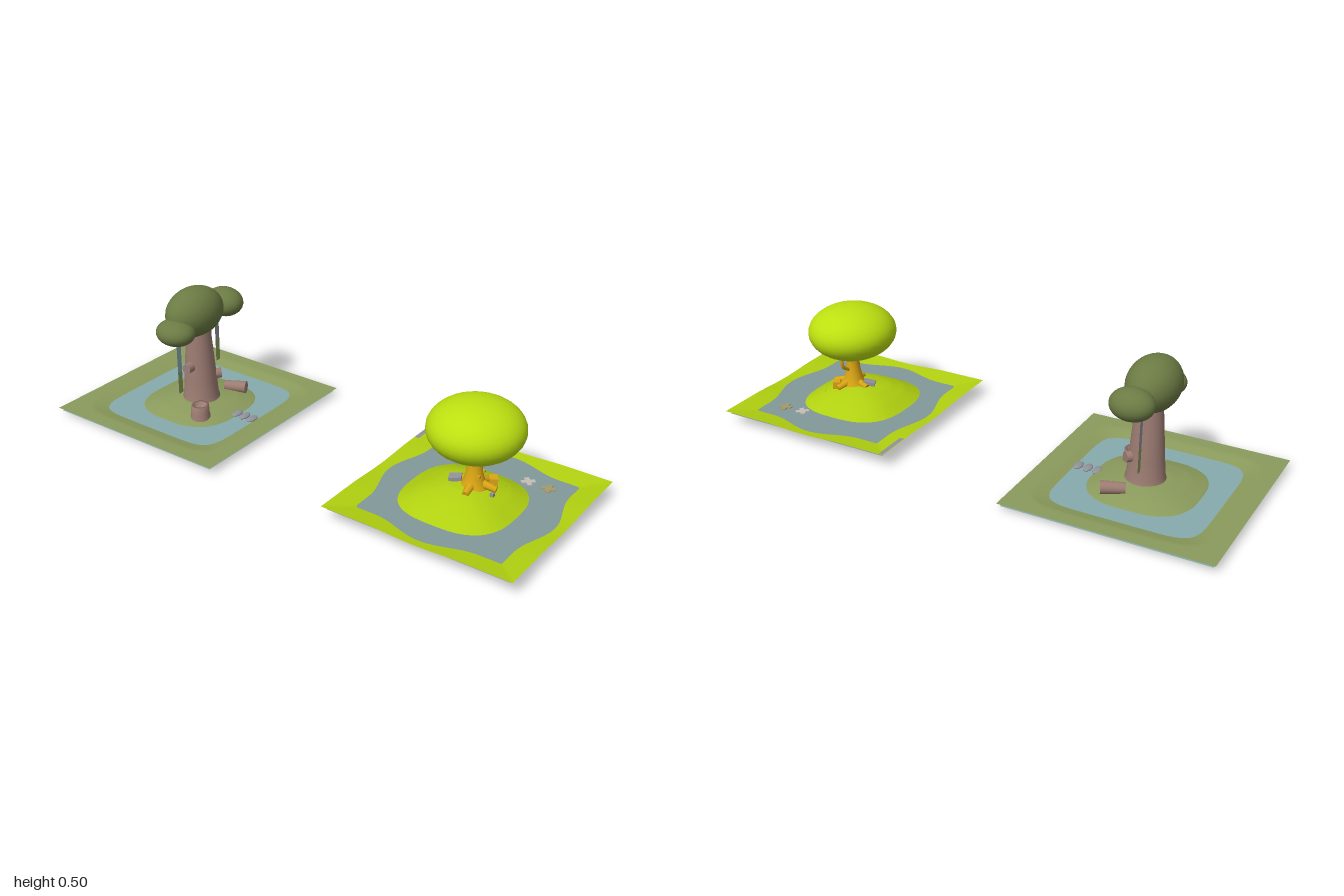
import * as THREE from 'three';

const mat = (color) => new THREE.MeshStandardMaterial({ color, side: THREE.DoubleSide });
const lime = mat(0xb0d010), limeLeaf = mat(0xbcdf10), gold = mat(0xdba614), paleWater = mat(0x82989a);
const olive = mat(0x8b9b5c), oliveLeaf = mat(0x6c7b44), bark = mat(0x9c7c72), water = mat(0x86abae);
const stone = mat(0x92929a), brown = mat(0x6e5550), petal = mat(0xc4bdb8), sand = mat(0xa39a6a);

function add(parent, name, geometry, material, [x, y, z] = [0, 0, 0]) {
  const m = new THREE.Mesh(geometry, material);
  m.name = name;
  m.position.set(x, y, z);
  parent.add(m);
  return m;
}

function ellipsoid(parent, name, material, pos, radii) {
  const g = new THREE.SphereGeometry(1, 32, 20).scale(...radii);
  return add(parent, name, g, material, pos);
}

// Tapered cylinder between two points
function limb(parent, name, material, a, b, ra, rb, sides = 16) {
  const p = new THREE.Vector3(...a), q = new THREE.Vector3(...b);
  const d = q.clone().sub(p);
  const m = add(parent, name, new THREE.CylinderGeometry(rb, ra, d.length(), sides), material);
  m.position.copy(p).add(q).multiplyScalar(0.5);
  m.quaternion.setFromUnitVectors(new THREE.Vector3(0, 1, 0), d.normalize());
  return m;
}

// Smoothly eased height between [radius, height] stops
function profile(stops, r) {
  for (let i = 1; i < stops.length; i++) {
    const [r0, h0] = stops[i - 1], [r1, h1] = stops[i];
    if (r < r1) return h0 + (h1 - h0) * Math.max(0, (r - r0) / (r1 - r0));
  }
  return stops[stops.length - 1][1];
}

const superRadius = (x, z, p) => (Math.abs(x) ** p + Math.abs(z) ** p) ** (1 / p);

function terrain(parent, name, material, size, cx, cz, height) {
  const g = new THREE.PlaneGeometry(size, size, 72, 72).rotateX(-Math.PI / 2);
  const p = g.attributes.position;
  for (let i = 0; i < p.count; i++) p.setY(i, height(p.getX(i), p.getZ(i)));
  g.computeVertexNormals();
  return add(parent, name, g, material, [cx, 0, cz]);
}

function sheet(parent, name, material, w, d, pos) {
  return add(parent, name, new THREE.PlaneGeometry(w, d).rotateX(-Math.PI / 2), material, pos);
}

function lathe(points) {
  return new THREE.LatheGeometry(points.map(([r, y]) => new THREE.Vector2(r, y)), 28);
}

function brightIsland() {
  const g = new THREE.Group();
  g.name = 'brightIsland';
  const hill = [[0, 0.109], [0.05, 0.106], [0.1, 0.094], [0.15, 0.073], [0.205, 0.043], [0.23, 0.033]];
  const bank = [[0.21, 0.033], [0.28, 0.043], [0.36, 0.055]];

  // Ground: a rounded hill inside a moat whose bank bulges mid-side
  terrain(g, 'brightGround', lime, 0.726, -0.027, 0.637, (x, z) => {
    const ax = Math.abs(x), az = Math.abs(z), t = Math.min(ax, az);
    const bulge = t < 0.2 ? 0.045 * Math.cos(t / 0.2 * Math.PI / 2) ** 2 : 0;
    return Math.max(profile(hill, superRadius(x + 0.018, z + 0.012, 2.8)),
      profile(bank, Math.max(ax, az) - bulge));
  });
  sheet(g, 'brightMoat', paleWater, 0.7, 0.7, [-0.027, 0.043, 0.637]);
  sheet(g, 'cornerStrip', stone, 0.14, 0.018, [0.265, 0.0565, 0.284]);

  // Tree
  add(g, 'brightTrunk', lathe([[0.055, 0.09], [0.043, 0.108], [0.034, 0.135], [0.027, 0.17],
    [0.024, 0.21], [0.03, 0.25]]), gold, [-0.033, 0, 0.655]);
  ellipsoid(g, 'brightCanopy', limeLeaf, [-0.04, 0.324, 0.655], [0.172, 0.106, 0.169]);
  const curve = new THREE.CatmullRomCurve3([[-0.02, 0.165, 0.66], [0.004, 0.178, 0.662],
    [0.024, 0.195, 0.664], [0.03, 0.235, 0.665]].map((p) => new THREE.Vector3(...p)));
  add(g, 'sideBranch', new THREE.TubeGeometry(curve, 16, 0.007, 10), gold);
  for (const [x, y, z] of [[-0.108, 0.1, 0.665], [0.037, 0.098, 0.685], [-0.02, 0.1, 0.735], [-0.02, 0.1, 0.585]]) {
    limb(g, 'root', gold, [-0.033, 0.122, 0.655], [x, y + 0.004, z], 0.018, 0.012, 8);
  }
  for (const [x, y] of [[-0.053, 0.152], [-0.021, 0.16], [-0.036, 0.195]]) {
    add(g, 'barkChip', new THREE.BoxGeometry(0.01, 0.008, 0.012), gold, [x, y, 0.682]);
  }
  const block = add(g, 'rootBlock', new THREE.BoxGeometry(0.035, 0.028, 0.03), gold, [0.02, 0.11, 0.7]);
  block.rotation.y = 0.6;

  // Stones and sprouts on the hill
  add(g, 'smallStone', new THREE.BoxGeometry(0.013, 0.012, 0.013), stone, [-0.048, 0.099, 0.735]);
  const slab = add(g, 'flatStone', new THREE.BoxGeometry(0.035, 0.014, 0.045), stone, [-0.045, 0.115, 0.59]);
  slab.rotation.set(-0.2, 0.4, 0.1);
  for (const [x, z] of [[0.024, 0.75], [0.05, 0.735]]) {
    add(g, 'sprout', new THREE.ConeGeometry(0.004, 0.02, 6), lime, [x, 0.078, z]);
  }

  // Cross-shaped floating flowers
  [[0.755, petal, 0.75], [0.835, sand, 0.2]].forEach(([z, m, turn]) => {
    for (const k of [0, 1]) {
      const p = add(g, 'waterFlower', new THREE.BoxGeometry(0.05, 0.004, 0.018), m, [0.178, 0.046, z]);
      p.rotation.y = turn + k * Math.PI / 2;
    }
  });
  return g;
}

function darkIsland() {
  const g = new THREE.Group();
  g.name = 'darkIsland';
  const hill = [[0, 0.05], [0.08, 0.044], [0.14, 0.033], [0.2, 0.015], [0.225, 0]];
  const bank = [[0.23, 0], [0.28, 0.015], [0.33, 0.027]];

  // Ground: low hill, square moat with rounded corners, flat rim
  terrain(g, 'darkGround', olive, 0.78, 0, -0.61, (x, z) => Math.max(
    profile(hill, superRadius(x, z, 2.8)), profile(bank, superRadius(x, z, 7))));
  sheet(g, 'darkMoat', water, 0.76, 0.76, [0, 0.015, -0.61]);
  sheet(g, 'undersideStrip', brown, 0.4, 0.05, [0.17, 0.0135, -0.955]);

  // Tree
  add(g, 'darkTrunk', lathe([[0.078, 0.03], [0.069, 0.06], [0.064, 0.12], [0.058, 0.2],
    [0.05, 0.3], [0.046, 0.38]]), bark, [0, 0, -0.6]);
  ellipsoid(g, 'mainCanopy', oliveLeaf, [-0.005, 0.405, -0.61], [0.131, 0.097, 0.094]);
  ellipsoid(g, 'sideCanopy', oliveLeaf, [0.158, 0.393, -0.6], [0.067, 0.057, 0.08]);
  ellipsoid(g, 'sideCanopy', oliveLeaf, [-0.126, 0.362, -0.6], [0.069, 0.05, 0.08]);

  // Cut branch stubs
  limb(g, 'branchStub', bark, [-0.03, 0.19, -0.6], [-0.086, 0.192, -0.595], 0.022, 0.019);
  limb(g, 'branchStub', bark, [0.02, 0.135, -0.58], [0.06, 0.135, -0.545], 0.022, 0.019);

  // Hanging strips: upper and lower pieces
  for (const [x, z, bottom, split, top, upper] of [
    [0.141, -0.63, 0.135, 0.225, 0.38, stone],
    [-0.134, -0.582, 0.115, 0.205, 0.36, water],
    [0.03, -0.57, 0.23, 0.28, 0.38, oliveLeaf]]) {
    const strip = (name, y0, y1, m) =>
      add(g, name, new THREE.PlaneGeometry(0.023, y1 - y0), m, [x, (y0 + y1) / 2, z]);
    strip('hangingStripTop', split, top, upper);
    strip('hangingStripEnd', bottom, split, olive);
  }

  // Hollow stump and fallen log
  add(g, 'hollowStump', lathe([[0.042, 0.015], [0.036, 0.045], [0.034, 0.077], [0.024, 0.077],
    [0.022, 0.06], [0.0001, 0.06]]), bark, [-0.113, 0, -0.507]);
  limb(g, 'fallenLog', bark, [0.115, 0.048, -0.575], [0.15, 0.048, -0.495], 0.02, 0.024);

  // Stepping stones across the moat
  for (let i = 0; i < 3; i++) {
    ellipsoid(g, 'steppingStone', stone, [0, 0.019, -0.417 + i * 0.037], [0.028, 0.007, 0.016]);
  }
  return g;
}

export function createModel() {
  const model = new THREE.Group();
  model.name = 'twoTreeIslands';
  model.add(brightIsland(), darkIsland());
  return model;
}
